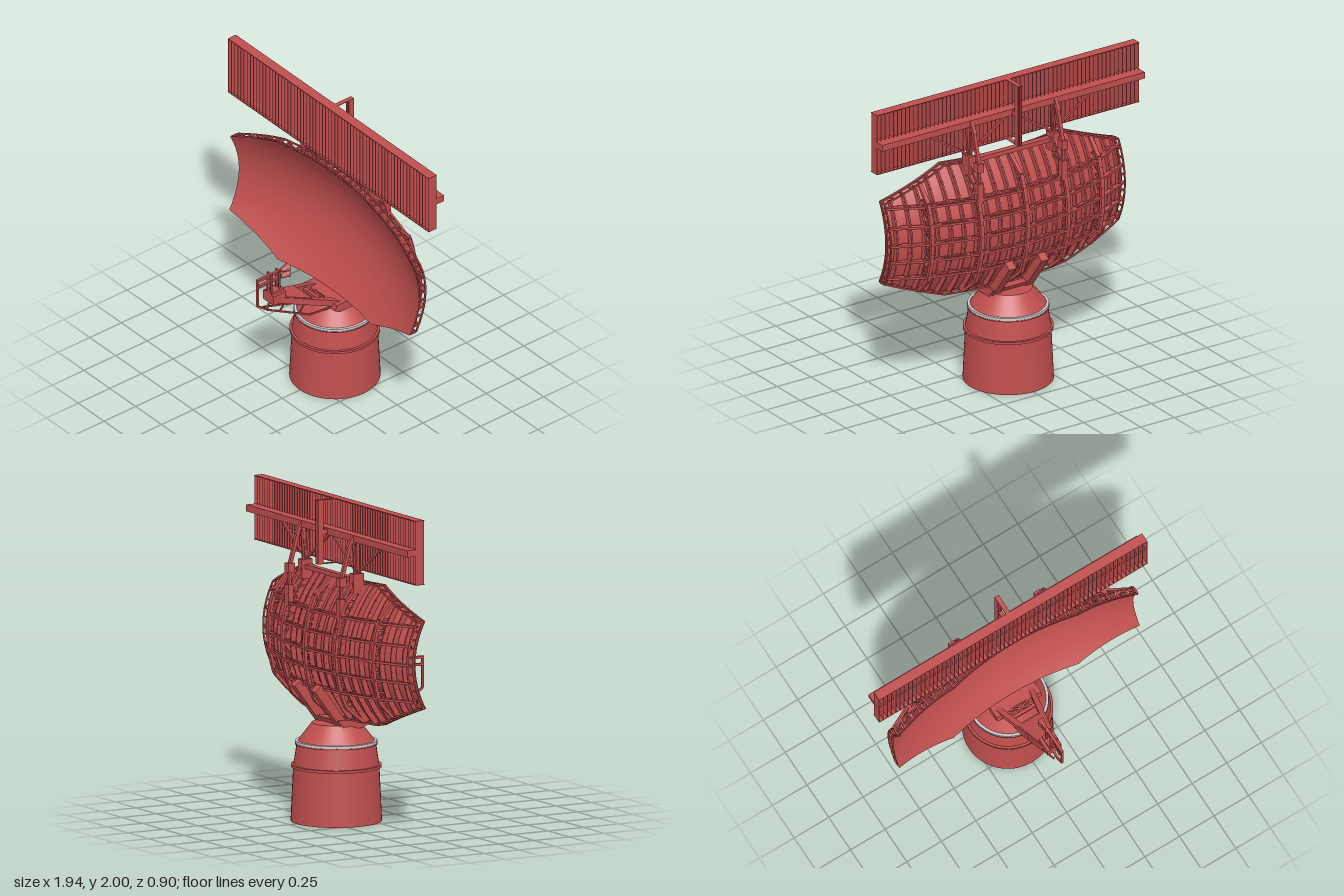
import * as THREE from 'three';
import { mergeGeometries } from 'three/addons/utils/BufferGeometryUtils.js';

const red = new THREE.MeshStandardMaterial({ color: 0xc04e4e });
const redThin = new THREE.MeshStandardMaterial({ color: 0xc04e4e, side: THREE.DoubleSide });
const grey = new THREE.MeshStandardMaterial({ color: 0xcccccc });

// Rectangular bar from a to b: w is the sideways width, h the other thickness
function bar(a, b, w, h = w) {
  const p = new THREE.Vector3(...a), q = new THREE.Vector3(...b);
  const d = q.clone().sub(p), len = d.length();
  const up = Math.abs(d.y) > 0.95 * len ? new THREE.Vector3(0, 0, 1) : new THREE.Vector3(0, 1, 0);
  const m = new THREE.Matrix4().lookAt(q, p, up).setPosition(p.add(q).multiplyScalar(0.5));
  return new THREE.BoxGeometry(w, h, len).applyMatrix4(m);
}
const box = (x0, x1, y0, y1, z0, z1) =>
  new THREE.BoxGeometry(x1 - x0, y1 - y0, z1 - z0).translate((x0 + x1) / 2, (y0 + y1) / 2, (z0 + z1) / 2);
// Bars along a list of points
const path = (pts, w, h = w) => pts.slice(1).map((p, i) => bar(pts[i], p, w, h));
// Flat plate cut from an outline
const plate = (pts, depth) => new THREE.ExtrudeGeometry(
  new THREE.Shape(pts.map(p => new THREE.Vector2(...p))), { depth, bevelEnabled: false });

function add(group, name, geos, material = red) {
  const mesh = new THREE.Mesh(Array.isArray(geos) ? mergeGeometries(geos) : geos, material);
  mesh.name = name;
  group.add(mesh);
}
const range = (a, b, n) => Array.from({ length: n + 1 }, (_, i) => a + (b - a) * i / n);

// Reflector shape: double-curved face and the deeper curve of its back frame
const MID = 1.085, HALF = 0.87;
const slope = x => Math.max(0, (Math.abs(x) - 0.45) / 0.42);
const topY = x => 1.523 - 0.17 * slope(x);
const botY = x => 0.648 + 0.16 * slope(x);
const faceZ = (x, y) => -0.322 + 0.27 * x * x + 0.98 * (y - MID) ** 2;
const backZ = (x, y) => -0.392 + 0.29 * x * x + 0.69 * (y - MID) ** 2;
const onFace = (x, y, off = 0.01) => [x, y, faceZ(x, y) - off];
const onBack = (x, y) => [x, y, backZ(x, y)];

function tower() {
  const g = new THREE.Group();
  g.name = 'tower';
  const drum = (name, r0, r1, y0, y1, mat) =>
    add(g, name, new THREE.CylinderGeometry(r1, r0, y1 - y0, 48).translate(0, (y0 + y1) / 2, 0), mat);
  drum('lowerBody', 0.28, 0.264, 0, 0.344);
  drum('towerBand', 0.278, 0.278, 0.335, 0.352);
  drum('upperBody', 0.264, 0.243, 0.344, 0.48);
  drum('collarFlange', 0.253, 0.253, 0.476, 0.484);
  drum('greyCollar', 0.251, 0.251, 0.484, 0.5, grey);
  drum('turntableCone', 0.236, 0.15, 0.498, 0.61);
  g.position.set(-0.005, 0, -0.17);
  return g;
}

function reflector() {
  const g = new THREE.Group();
  g.name = 'reflector';

  // Curved face with cut-off corners
  const face = new THREE.PlaneGeometry(2, 2, 58, 24);
  const pos = face.attributes.position;
  for (let i = 0; i < pos.count; i++) {
    const x = pos.getX(i) * HALF, v = (pos.getY(i) + 1) / 2;
    const y = botY(x) + (topY(x) - botY(x)) * v;
    pos.setXYZ(i, x, y, faceZ(x, y));
  }
  face.computeVertexNormals();
  add(g, 'reflectorFace', face, redThin);

  // Rim: two rails joined by short posts, like a ladder
  const xs = range(-HALF, HALF, 29), ys = range(0.81, 1.35, 10);
  const outline = [
    ...xs.map(x => [x, topY(x)]), ...ys.slice(1, -1).reverse().map(y => [HALF, y]),
    ...xs.slice().reverse().map(x => [x, botY(x)]), ...ys.slice(1).map(y => [-HALF, y]),
  ].map(([x, y]) => [x * 0.995, MID + (y - MID) * 0.99]);
  add(g, 'rimFrame', [
    ...path(outline.map(([x, y]) => onFace(x, y, 0.012)), 0.008, 0.01),
    ...path(outline.map(([x, y]) => onFace(x, y, 0.055)), 0.008, 0.01),
    ...outline.map(([x, y]) => bar(onFace(x, y), onFace(x, y, 0.055), 0.012, 0.008)),
  ]);

  // Upright stiffening fins on the back of the face
  const fins = [];
  for (const x of range(-0.82, 0.82, 20))
    fins.push(...path(range(botY(x) + 0.01, topY(x) - 0.01, 12).map(y => onFace(x, y, 0.026)), 0.011, 0.034));
  add(g, 'stiffeningFins', fins);

  // Upright trusses
  const trussX = [-0.63, -0.32, 0, 0.32, 0.63], upright = [];
  for (const x of trussX) {
    const t = topY(x), b = botY(x), levels = range(b + 0.11, t - 0.11, 8);
    upright.push(...path([onFace(x, b + 0.01, 0.05), ...levels.map(y => onBack(x, y)), onFace(x, t - 0.01, 0.05)], 0.026, 0.02));
    levels.forEach((y, i) => {
      upright.push(bar(onFace(x, y), onBack(x, y), 0.012));
      if (i) upright.push(i % 2 ? bar(onFace(x, y), onBack(x, levels[i - 1]), 0.01)
        : bar(onBack(x, y), onFace(x, levels[i - 1]), 0.01));
    });
  }
  add(g, 'uprightTrusses', upright);

  // Level trusses: straight chords between the uprights, with slanted struts to the face
  const level = [], end = 0.865;
  for (const y of [0.85, 0.97, 1.085, 1.2, 1.32]) {
    level.push(...path([onFace(-end, y, 0.045), ...trussX.map(x => onBack(x, y)), onFace(end, y, 0.045)], 0.014));
    level.push(...path(range(-end, end, 20).map(x => onFace(x, y, 0.035)), 0.012));
    for (const x of trussX) for (const s of [-1, 1])
      level.push(bar(onBack(x, y), onFace(x + s * 0.155, y, 0.02), 0.012));
  }
  add(g, 'levelTrusses', level);
  return g;
}

function upperArray() {
  const g = new THREE.Group();
  g.name = 'upperArray';
  // Open row of thin upright slats between edge strips
  const slats = range(-0.969, 0.969, 64).map(x => box(x - 0.0015, x + 0.0015, 1.602, 1.998, -0.176, -0.115));
  add(g, 'slats', slats);
  add(g, 'edgeStrips', [1.6, 1.996].map(y => box(-0.971, 0.971, y, y + 0.004, -0.177, -0.114)));
  add(g, 'mainBeam', box(-0.971, 0.971, 1.78, 1.822, -0.236, -0.14));
  // Narrow open channel held behind the row by two flat arms
  add(g, 'rearChannel', [
    ...[-0.013, 0, 0.013].map(x => box(x - 0.0015, x + 0.0015, 1.602, 1.998, -0.305, -0.265)),
    ...[1.6, 1.996].map(y => box(-0.015, 0.015, y, y + 0.004, -0.306, -0.17)),
    box(-0.012, 0.012, 1.785, 1.815, -0.27, -0.23),
  ]);
  add(g, 'footBeam', box(-0.29, 0.29, 1.522, 1.55, -0.22, -0.18));

  for (const s of [1, -1]) {
    const x = s * 0.31;
    // Foot block, legs and slanted braces
    add(g, 'footBlock', box(x - 0.023, x + 0.023, 1.46, 1.582, -0.242, -0.165));
    add(g, 'legs', [
      bar([x, 1.57, -0.2], [s * 0.325, 1.79, -0.21], 0.018), bar([x - s * 0.005, 1.57, -0.2], [x, 1.79, -0.19], 0.012),
      bar([x, 1.58, -0.2], [s * 0.62, 1.79, -0.2], 0.013), bar([x, 1.58, -0.2], [0, 1.79, -0.2], 0.013),
    ]);
    // Rear struts tied down to the reflector frame
    add(g, 'rearStrut', [
      bar([x, 1.81, -0.23], [x, 1.74, -0.27], 0.022), bar([x, 1.76, -0.255], [x, 1.55, -0.315], 0.022),
      box(x - 0.022, x + 0.022, 1.505, 1.565, -0.338, -0.29), bar([x, 1.52, -0.315], [x, 1.42, -0.318], 0.018),
      box(x - 0.022, x + 0.022, 1.3, 1.432, -0.338, -0.3), bar([x, 1.56, -0.21], [x, 1.4, -0.32], 0.02),
      bar([x, 1.79, -0.23], [x, 1.57, -0.22], 0.012),
    ]);
  }
  return g;
}

function feed() {
  const g = new THREE.Group();
  g.name = 'feed';
  // Mount block with a slanted underside
  const mount = [[-0.25, 0.645], [-0.2, 0.588], [-0.08, 0.588], [-0.04, 0.605], [-0.05, 0.645]];
  add(g, 'mount', plate(mount, 0.32).rotateY(-Math.PI / 2).translate(0.16, 0, 0));
  // Arm side beams narrow toward the feed; rear arms carry the reflector
  const armAt = (s, t) => [s * (0.12 - 0.095 * t), 0.625 + 0.17 * t, -0.1 + 0.44 * t];
  for (const s of [1, -1]) {
    add(g, 'armBeam', bar(armAt(s, 0), armAt(s, 1), 0.034, 0.042));
    add(g, 'rearArm', bar([s * 0.12, 0.615, -0.2], [s * 0.12, 0.855, -0.382], 0.055, 0.058));
    add(g, 'lowerRod', path([[s * 0.1, 0.602, -0.05], [s * 0.08, 0.602, 0.1], [s * 0.02, 0.73, 0.385]], 0.01));
    add(g, 'rodTie', [0.5, 0.8].map(t => bar(armAt(s, t), [s * (0.1 - 0.08 * t), 0.53 + 0.2 * t, -0.06 + 0.45 * t], 0.008)));
  }
  add(g, 'armCrossBars', [
    ...[0.08, 0.25, 0.42].map(t => bar(armAt(-1, t), armAt(1, t), 0.02)),
    bar(armAt(-1, 0.08), armAt(1, 0.25), 0.012), bar(armAt(1, 0.08), armAt(-1, 0.25), 0.012),
  ]);
  // Tapered cover plate over the outer half of the arm
  add(g, 'armCover', plate([[-0.09, 0.2], [0.09, 0.2], [0.04, 0.47], [-0.04, 0.47]], 0.01)
    .rotateX(Math.atan2(0.44, 0.17)).translate(0, 0.652, -0.1));
  add(g, 'feedBox', [box(-0.05, 0.05, 0.765, 0.83, 0.26, 0.36), box(-0.03, 0.03, 0.83, 0.845, 0.26, 0.36)]);
  add(g, 'feedPosts', [-1, 1].flatMap(s => [
    box(s * 0.017 - 0.006, s * 0.017 + 0.006, 0.84, 0.975, 0.34, 0.356),
    box(s * 0.014 - 0.004, s * 0.014 + 0.004, 0.84, 0.975, 0.278, 0.292),
  ]));
  // Two flared horns facing the reflector
  for (const y of [0.915, 0.96]) {
    const horn = new THREE.CylinderGeometry(0.028, 0.012, 0.06, 4).rotateY(Math.PI / 4).rotateX(-Math.PI / 2);
    add(g, 'horn', horn.translate(0, y, 0.23));
    add(g, 'waveguide', box(-0.009, 0.009, y - 0.008, y + 0.008, 0.25, 0.45));
    add(g, 'hornClamp', [0.285, 0.348].map(z => box(-0.02, 0.02, y - 0.006, y + 0.006, z - 0.006, z + 0.006)));
  }
  add(g, 'feedLoop', path([[0, 0.965, 0.445], [0, 0.77, 0.445], [0, 0.72, 0.375], [0, 0.79, 0.33]], 0.014, 0.012));
  return g;
}

export function createModel() {
  const model = new THREE.Group();
  model.name = 'radarAntenna';
  model.add(tower(), reflector(), upperArray(), feed());
  return model;
}
